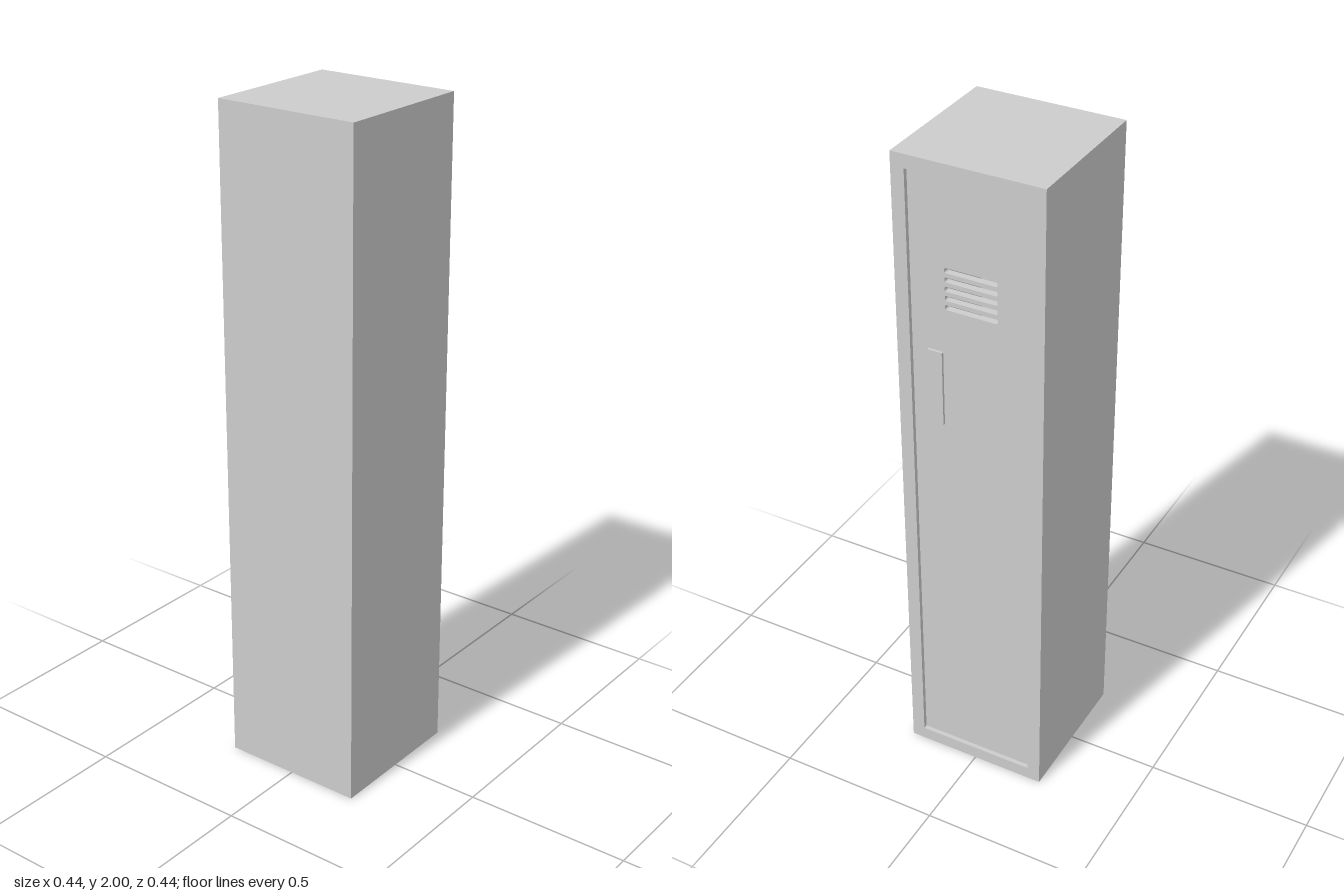
import * as THREE from 'three';

const W = 0.444, H = 2, T = 0.02;   // footprint, height, sheet thickness
const MARGIN = 0.04, RECESS = 0.013; // door frame border and door set-back
const mat = new THREE.MeshStandardMaterial({ color: 0xcccccc });

function box(name, sx, sy, sz, x, y, z) {
  const m = new THREE.Mesh(new THREE.BoxGeometry(sx, sy, sz), mat);
  m.name = name;
  m.position.set(x, y, z);
  return m;
}

// Rounded rectangle outline centred on (cx, cy)
function roundedRect(path, cx, cy, w, h, r) {
  const x = w / 2 - r, y = h / 2 - r;
  path.absarc(cx + x, cy + y, r, 0, Math.PI / 2);
  path.absarc(cx - x, cy + y, r, Math.PI / 2, Math.PI);
  path.absarc(cx - x, cy - y, r, Math.PI, Math.PI * 1.5);
  path.absarc(cx + x, cy - y, r, Math.PI * 1.5, Math.PI * 2);
  path.closePath();
  return path;
}

function rect(path, x0, y0, x1, y1) {
  path.moveTo(x0, y0);
  path.lineTo(x1, y0);
  path.lineTo(x1, y1);
  path.lineTo(x0, y1);
  path.closePath();
  return path;
}

// Sheet drawn in the (-z, y) plane, its outer face at xFace looking along +x
function sheet(name, shape, depth, xFace) {
  const g = new THREE.ExtrudeGeometry(shape, { depth, bevelEnabled: false, curveSegments: 4 });
  g.rotateY(Math.PI / 2);
  g.translate(xFace - depth, 0, 0);
  const m = new THREE.Mesh(g, mat);
  m.name = name;
  return m;
}

export function createModel() {
  const locker = new THREE.Group();
  locker.name = 'locker';
  const half = W / 2;
  const inner = half - MARGIN;

  // Hollow cabinet, open towards the door on +x
  const cabinet = new THREE.Group();
  cabinet.name = 'cabinet';
  const depth = W - T;
  const x = -T / 2;
  cabinet.add(
    box('backPanel', T, H - 2 * T, W - 2 * T, -half + T / 2, H / 2, 0),
    box('topPanel', depth, T, W, x, H - T / 2, 0),
    box('bottomPanel', depth, T, W, x, T / 2, 0)
  );
  for (const s of [-1, 1]) {
    cabinet.add(box('sidePanel', depth, H - 2 * T, T, x, H / 2, s * (half - T / 2)));
  }
  locker.add(cabinet);

  // Border around the door
  const frame = rect(new THREE.Shape(), -half, 0, half, H);
  frame.holes.push(rect(new THREE.Path(), -inner, MARGIN, inner, H - MARGIN));
  locker.add(sheet('doorFrame', frame, T, half));

  // Set-back door with five ventilation slots
  const door = rect(new THREE.Shape(), -inner - 0.01, MARGIN - 0.01, inner + 0.01, H - MARGIN + 0.01);
  for (let i = 0; i < 5; i++) {
    door.holes.push(roundedRect(new THREE.Path(), 0, 1.58 + i * 0.0275, 0.157, 0.015, 0.005));
  }
  locker.add(sheet('door', door, T, half - RECESS));

  // Flat pull on the door
  locker.add(box('handle', 0.012, 0.23, 0.045, half - RECESS + 0.002, 1.325, 0.11));

  return locker;
}
